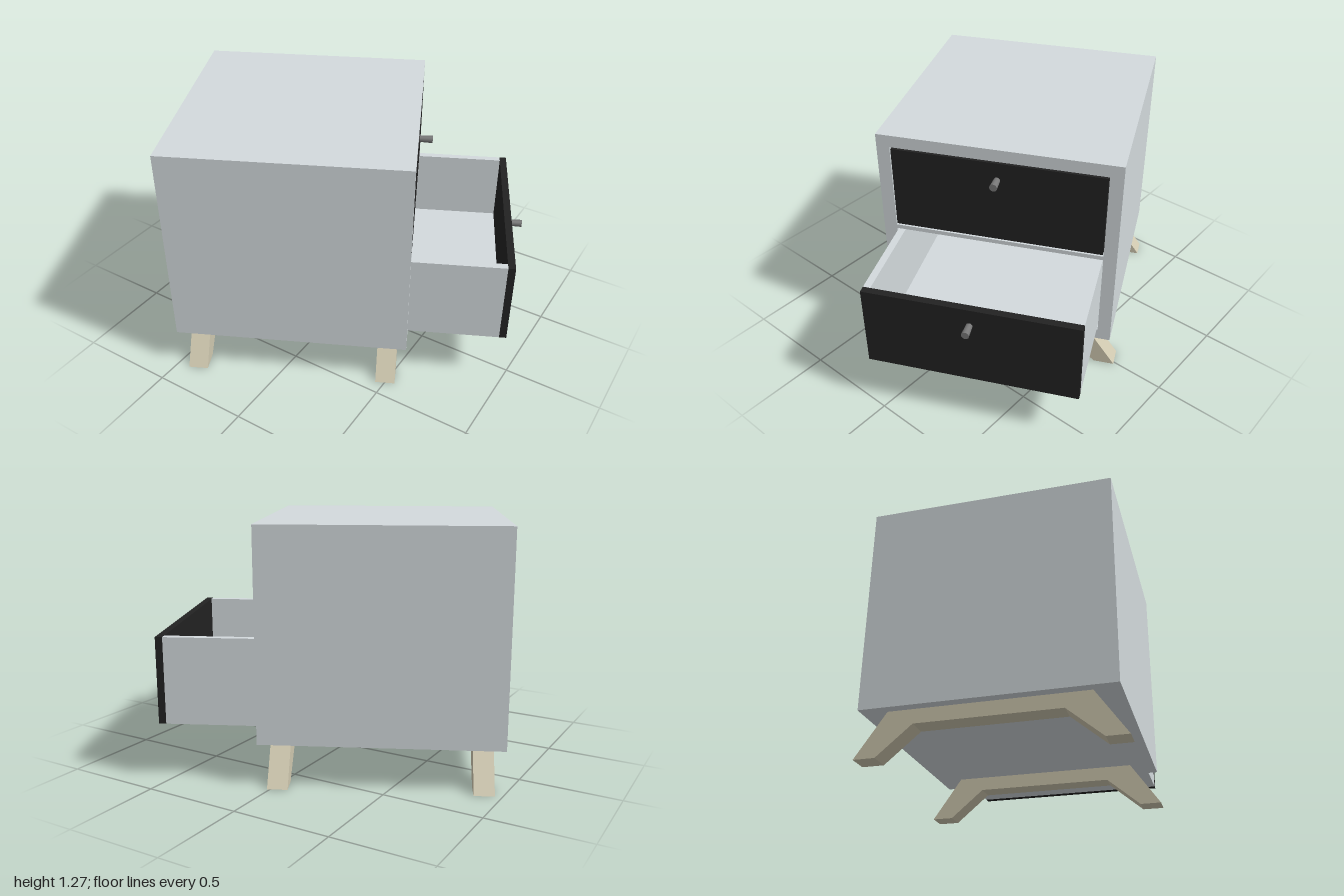
import * as THREE from 'three';

const paint = (color) => new THREE.MeshStandardMaterial({ color });
const shell = paint(0xd3dadd);
const black = paint(0x222222);
const wood = paint(0xd0c9b0);
const metal = paint(0x777777);

function part(name, geometry, material, x = 0, y = 0, z = 0) {
  const mesh = new THREE.Mesh(geometry, material);
  mesh.name = name;
  mesh.position.set(x, y, z);
  return mesh;
}

const box = (name, mat, w, h, d, x, y, z) =>
  part(name, new THREE.BoxGeometry(w, h, d), mat, x, y, z);

const outline = (points) => points.map(([a, b]) => new THREE.Vector2(a, b));
const rect = (w, y0, y1) => outline([[-w, y0], [w, y0], [w, y1], [-w, y1]]);

// Extrude a profile drawn across the cabinet (z, y) along local x
function extrudeX(shape, x0, x1) {
  return new THREE.ExtrudeGeometry(shape, { depth: x1 - x0, bevelEnabled: false })
    .rotateY(Math.PI / 2)
    .translate(x0, 0, 0);
}

// Open-topped drawer; x is the outer face of its front panel
function makeDrawer(name, x, y) {
  const g = new THREE.Group();
  g.name = name;
  g.position.set(x, y, 0);
  const h = 0.435, half = 0.523, t = 0.036, depth = 1.05;
  const mid = -t - depth / 2;
  g.add(box('drawerFront', black, t, h, half * 2, -t / 2, 0, 0));
  for (const s of [-1, 1]) {
    g.add(box('drawerSide', shell, depth, h, t, mid, 0, s * (half - t / 2)));
  }
  g.add(box('drawerBack', shell, t, h, (half - t) * 2, -t - depth + t / 2, 0, 0));
  g.add(box('drawerFloor', shell, depth - t, 0.07, (half - t) * 2, mid + t / 2, -h / 2 + 0.035, 0));
  const knob = new THREE.CylinderGeometry(0.019, 0.016, 0.067, 20).rotateZ(-Math.PI / 2);
  g.add(part('knob', knob, metal, 0.0335, 0.125, 0));
  return g;
}

export function createModel() {
  const model = new THREE.Group();
  model.name = 'nightstand';

  // The cabinet stands turned, with its drawers facing local +x
  const cabinet = new THREE.Group();
  cabinet.name = 'cabinet';
  cabinet.position.set(-0.21, 0, 0.07);
  cabinet.rotation.y = THREE.MathUtils.degToRad(25.5);
  model.add(cabinet);

  // Carcass with two drawer openings, closed at the back
  const R = 0.593;
  const carcass = new THREE.Shape(rect(R, 0.215, 1.268));
  carcass.holes.push(new THREE.Path(rect(0.527, 0.275, 0.73)));
  carcass.holes.push(new THREE.Path(rect(0.527, 0.752, 1.205)));
  cabinet.add(part('carcass', extrudeX(carcass, -R + 0.03, R), shell));
  cabinet.add(box('backPanel', shell, 0.03, 1.053, R * 2, -R + 0.015, 0.7415, 0));

  // Upper drawer shut, lower drawer pulled out
  cabinet.add(makeDrawer('upperDrawer', R, 0.978));
  cabinet.add(makeDrawer('lowerDrawer', 1.088, 0.5025));

  // Two splayed leg frames running from side to side
  const frame = new THREE.Shape(outline([
    [-0.62, 0], [-0.515, 0], [-0.345, 0.145], [0.345, 0.145],
    [0.515, 0], [0.62, 0], [0.47, 0.215], [-0.47, 0.215],
  ]));
  for (const [name, x] of [['frontLegFrame', 0.493], ['backLegFrame', -0.493]]) {
    cabinet.add(part(name, extrudeX(frame, x - 0.05, x + 0.05), wood));
  }
  return model;
}
